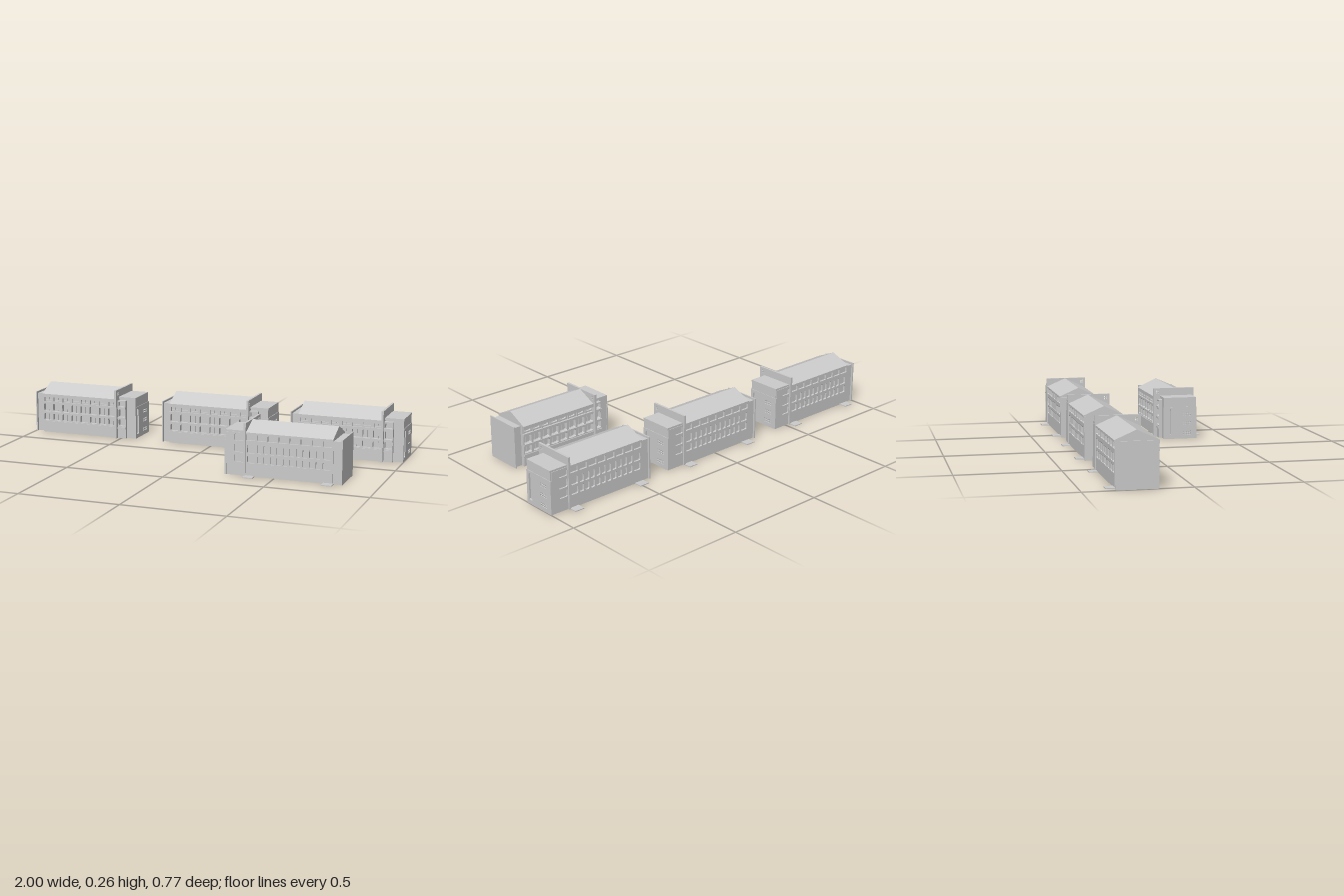
import * as THREE from 'three';

const material = new THREE.MeshStandardMaterial({ color: 0xcccccc, flatShading: true });

function add(group, name, geometry) {
  const mesh = new THREE.Mesh(geometry, material);
  mesh.name = name;
  group.add(mesh);
  return mesh;
}

// Box given by its limits on each axis
function box(group, name, x0, x1, y0, y1, z0, z1) {
  const g = new THREE.BoxGeometry(x1 - x0, y1 - y0, z1 - z0);
  g.translate((x0 + x1) / 2, (y0 + y1) / 2, (z0 + z1) / 2);
  return add(group, name, g);
}

// Opening with small chamfered corners
function opening(cx, y0, y1, w, c = 0.004) {
  const a = cx - w / 2, b = cx + w / 2;
  return new THREE.Path([
    [a + c, y0], [a, y0 + c], [a, y1 - c], [a + c, y1],
    [b - c, y1], [b, y1 - c], [b, y0 + c], [b - c, y0],
  ].map(p => new THREE.Vector2(...p)));
}

function panelGeometry(u0, u1, y0, y1, depth, holes) {
  const s = new THREE.Shape([[u0, y0], [u1, y0], [u1, y1], [u0, y1]].map(p => new THREE.Vector2(...p)));
  s.holes.push(...holes);
  return new THREE.ExtrudeGeometry(s, { depth, bevelEnabled: false });
}

// Wall with openings, facing along z
function panel(group, name, x0, x1, y0, y1, z0, z1, holes) {
  return add(group, name, panelGeometry(x0, x1, y0, y1, z1 - z0, holes).translate(0, 0, z0));
}

// Wall with openings, facing along x
function sidePanel(group, name, z0, z1, y0, y1, x0, x1, holes) {
  return add(group, name, panelGeometry(z0, z1, y0, y1, x1 - x0, holes).rotateY(-Math.PI / 2).translate(x1, 0, 0));
}

const L = -0.2425, R = 0.1855, END = 0.2885; // roof ends and outer end
const lowRows = [[0.064, 0.1], [0.112, 0.153]];
const topRow = [0.173, 0.201];

function createBuilding() {
  const b = new THREE.Group();

  // Main body and pitched roof
  box(b, 'mainBody', L, R, 0, 0.208, -0.335, -0.169);
  const profile = new THREE.Shape([
    [-0.347, 0.203], [-0.145, 0.203], [-0.145, 0.207], [-0.247, 0.255], [-0.347, 0.212],
  ].map(p => new THREE.Vector2(...p)).reverse());
  add(b, 'gableRoof', new THREE.ExtrudeGeometry(profile, { depth: R - L, bevelEnabled: false })
    .rotateY(-Math.PI / 2).translate(R, 0, 0));
  box(b, 'frontEave', L, R, 0.19, 0.203, -0.153, -0.145);

  // Front facade: eight bays of loggias, top floor set back
  const step = (R - L) / 8;
  const bays = Array.from({ length: 8 }, (_, i) => L + step * (i + 0.5));
  panel(b, 'frontFacade', L, R, 0, 0.166, -0.169, -0.15,
    lowRows.flatMap(r => bays.map(x => opening(x, r[0], r[1], 0.043))));
  panel(b, 'frontTopFloor', L, R, 0.166, 0.204, -0.169, -0.158,
    bays.map(x => opening(x, ...topRow, 0.043)));
  for (const y of [0.05, 0.102, 0.157]) {
    box(b, 'balconyBand', L, R, y, y + 0.01, -0.151, -0.145);
  }
  for (const x of bays) {
    for (const r of [...lowRows, topRow]) {
      box(b, 'frontMullion', x - 0.0015, x + 0.0015, r[0], r[1], -0.169, -0.165);
    }
    box(b, 'topRailPost', x - step / 2 + 0.003, x - step / 2 + 0.009, 0.166, 0.203, -0.158, -0.15);
  }

  // Back facade: narrow windows between two wide ones, wide panes on top
  const backHoles = [];
  for (const r of lowRows) {
    for (const x of [L + 0.03, R - 0.03]) backHoles.push(opening(x, r[0], r[1], 0.038));
    for (let i = 0; i < 10; i++) backHoles.push(opening(L + 0.071 + i * 0.0318, r[0], r[1], 0.023));
  }
  for (const x of bays) backHoles.push(opening(x, ...topRow, 0.045, 0.002));
  panel(b, 'backFacade', L, R, 0, 0.211, -0.345, -0.335, backHoles);

  // Flat-roofed bay and end wall
  box(b, 'endBay', -0.284, L, 0, 0.203, -0.34, -0.17);
  box(b, 'endWall', -0.2885, -0.282, 0, 0.213, -0.35, -0.157);

  // Tall dividing wall with a small four-pane light
  const lights = [];
  for (const z of [-0.159, -0.15]) {
    for (const y of [0.228, 0.237]) lights.push(opening(z, y, y + 0.007, 0.007, 0.001));
  }
  sidePanel(b, 'dividingWall', -0.35, -0.133, 0, 0.256, 0.181, 0.192, lights);

  // Stair tower
  box(b, 'towerBody', 0.19, 0.28, 0, 0.208, -0.333, -0.174);
  box(b, 'towerRoof', 0.19, 0.287, 0.207, 0.217, -0.338, -0.167);
  const towerRows = [...lowRows, [0.167, 0.2]];
  panel(b, 'towerBack', 0.19, 0.28, 0, 0.208, -0.341, -0.333,
    towerRows.map(r => opening(0.217, r[0], r[1], 0.046)));
  box(b, 'towerFront', 0.235, 0.28, 0, 0.208, -0.175, -0.168);

  // Tower end wall: tall stair window and grouped panes on each floor
  const endHoles = [opening(-0.193, 0.02, 0.155, 0.023, 0.005)];
  for (const y0 of [0.02, 0.07, 0.118]) {
    for (let i = 0; i < 4; i++) {
      for (let j = 0; j < 2; j++) {
        endHoles.push(opening(-0.306 + i * 0.0117, y0 + j * 0.011, y0 + j * 0.011 + 0.009, 0.009, 0.002));
      }
    }
  }
  sidePanel(b, 'towerEndWall', -0.342, -0.165, 0, 0.167, 0.28, END, endHoles);
  box(b, 'towerEndTop', 0.28, 0.286, 0.167, 0.208, -0.338, -0.168);

  // Projecting bay in front of the tower
  panel(b, 'towerFrontBay', 0.19, 0.237, 0, 0.2, -0.175, -0.152,
    [...lowRows, [0.167, 0.194]].map(r => opening(0.2145, r[0], r[1], 0.036)));
  for (const y of [0.05, 0.102, 0.157]) {
    box(b, 'bayBand', 0.19, 0.237, y, y + 0.01, -0.153, -0.146);
  }

  // Entrance slabs at the back
  for (const x of [-0.2475, 0.1365]) {
    box(b, 'entranceSlab', x, x + 0.05, 0, 0.004, -0.386, -0.344);
  }
  return b;
}

export function createModel() {
  const model = new THREE.Group();
  model.name = 'housingBlocks';
  const building = createBuilding();
  // Three blocks in a row, and one opposite turned around
  [[-0.7115, 0], [0.0165, 0], [0.7115, 0], [0.5415, Math.PI]].forEach(([x, turn], i) => {
    const block = building.clone();
    block.name = 'block' + (i + 1);
    block.position.x = x;
    block.rotation.y = turn;
    model.add(block);
  });
  return model;
}
